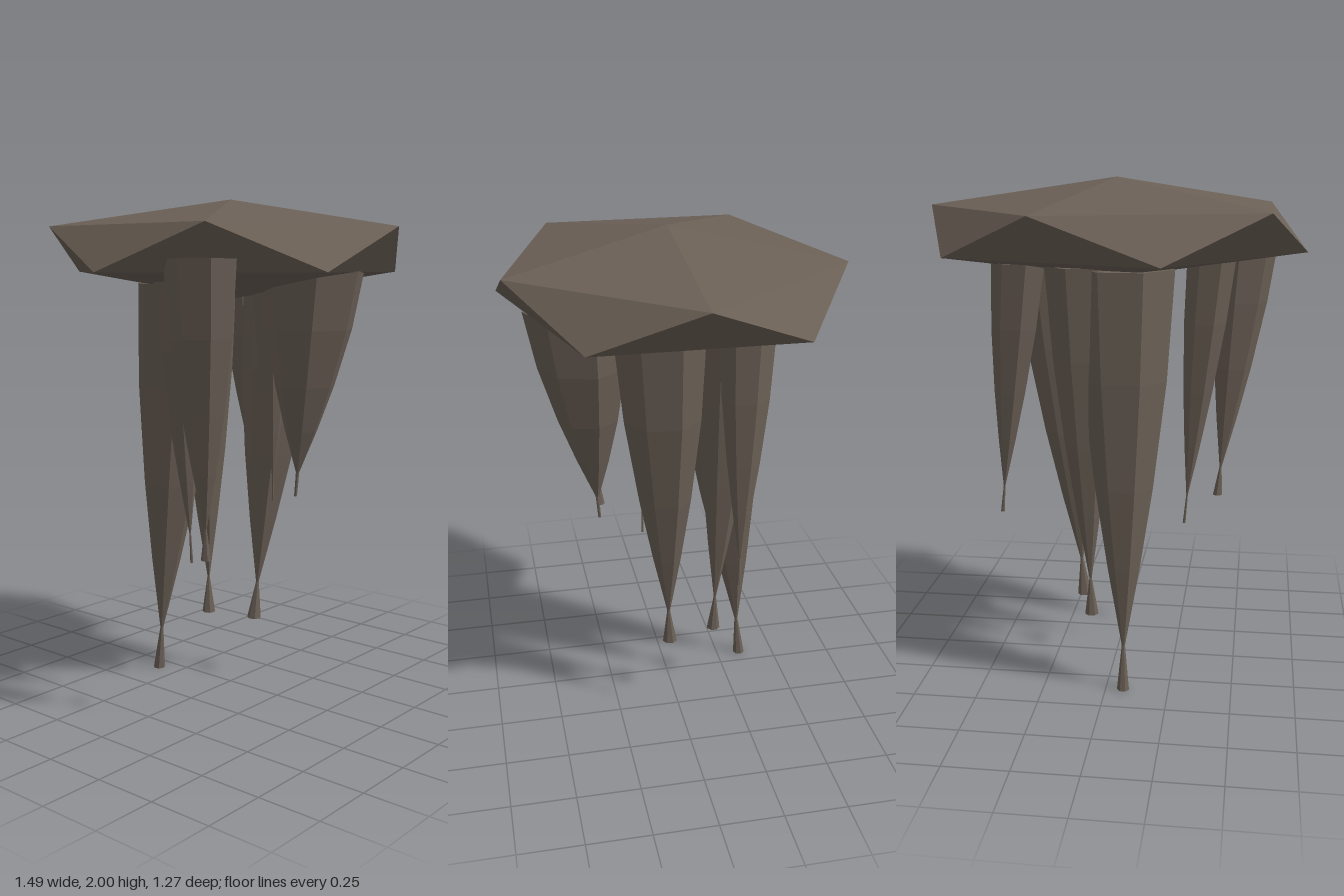
import * as THREE from 'three';

const material = new THREE.MeshStandardMaterial({ color: 0x6b6056, flatShading: true, side: THREE.DoubleSide });

// Squashed icosahedral rock slab: two staggered rings of five between two poles
function createCap() {
  const ring = (y, sign) => Array.from({ length: 5 }, (_, i) => {
    const a = i * Math.PI * 2 / 5;
    return new THREE.Vector3(sign * 0.745 * Math.cos(a), y, sign * 0.67 * Math.sin(a));
  });
  const upper = ring(1.888, 1), lower = ring(1.717, -1);
  const top = new THREE.Vector3(0, 2, 0), bottom = new THREE.Vector3(0, 1.61, 0);
  const points = [];
  for (let i = 0; i < 5; i++) {
    const j = (i + 1) % 5;
    // the lower corner lying between upper corners i and j, and the one after it
    const l = lower[(i + 3) % 5], m = lower[(i + 4) % 5];
    points.push(top, upper[j], upper[i], upper[i], upper[j], l);
    points.push(upper[j], m, l, bottom, l, m);
  }
  const geometry = new THREE.BufferGeometry().setFromPoints(points);
  geometry.computeVertexNormals();
  const cap = new THREE.Mesh(geometry, material);
  cap.name = 'rockCap';
  return cap;
}

// Seven-sided hanging spike: drifts from its root to its tip, pinches to a neck and flares at the end
function createSpike({ root, tip, radius, flare, turn = 0 }) {
  const rows = [[0, 1], [0.25, 0.86], [0.5, 0.6], [0.7, 0.33], [0.89, 0.035], [1, flare / radius]];
  const sides = 7;
  const geometry = new THREE.CylinderGeometry(1, 1, 1, sides, rows.length - 1);
  const start = new THREE.Vector3(...root), end = new THREE.Vector3(...tip);
  const p = geometry.attributes.position, v = new THREE.Vector3(), centre = new THREE.Vector3();
  for (let i = 0; i < p.count; i++) {
    v.fromBufferAttribute(p, i);
    const [t, scale] = rows[Math.round((0.5 - v.y) * (rows.length - 1))];
    centre.lerpVectors(start, end, t);
    v.setY(0).applyAxisAngle(THREE.Object3D.DEFAULT_UP, turn).multiplyScalar(radius * scale).add(centre);
    p.setXYZ(i, v.x, v.y, v.z);
  }
  geometry.computeVertexNormals();
  return new THREE.Mesh(geometry, material);
}

export function createModel() {
  const group = new THREE.Group();
  group.name = 'hangingRock';
  group.add(createCap());

  const spikes = [
    { name: 'longBackSpike', root: [-0.06, 1.67, -0.2], tip: [-0.07, 0, -0.35], radius: 0.195, flare: 0.025 },
    { name: 'rightFrontSpike', root: [-0.505, 1.765, 0.29], tip: [-0.41, 0.65, 0.225], radius: 0.135, flare: 0.02, turn: 0.3 },
    { name: 'rightInnerSpike', root: [-0.375, 1.71, 0.05], tip: [-0.28, 0.58, 0.035], radius: 0.1, flare: 0.006 },
    { name: 'backMiddleSpike', root: [0.11, 1.68, -0.23], tip: [0.08, 0.25, -0.19], radius: 0.14, flare: 0.028, turn: 0.2 },
    { name: 'middleSpike', root: [0.26, 1.68, 0.08], tip: [0.14, 0.25, 0.015], radius: 0.175, flare: 0.03, turn: 0.1 },
    { name: 'leftSpike', root: [0.345, 1.69, -0.23], tip: [0.44, 0.68, -0.2], radius: 0.105, flare: 0.008 },
    { name: 'frontSpike', root: [0.075, 1.72, 0.36], tip: [0.06, 0.83, 0.29], radius: 0.2, flare: 0.006 },
    { name: 'smallInnerSpike', root: [0.11, 1.7, 0.13], tip: [0.125, 0.78, 0.125], radius: 0.085, flare: 0.005 },
  ];
  for (const spec of spikes) {
    const spike = createSpike(spec);
    spike.name = spec.name;
    group.add(spike);
  }
  return group;
}
